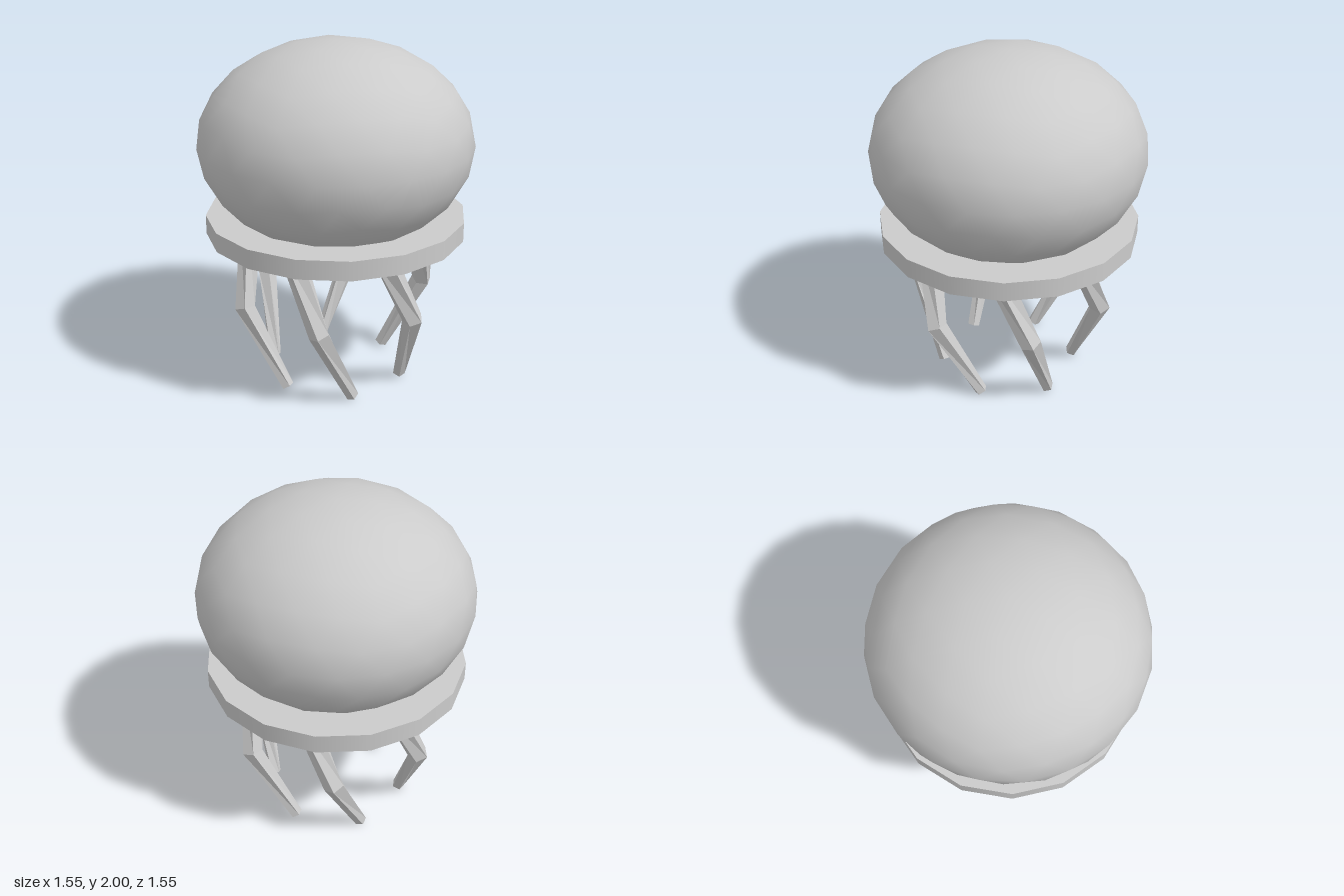
import * as THREE from 'three';

const grey = new THREE.MeshStandardMaterial({ color: 0xcccccc });
const greyFlat = new THREE.MeshStandardMaterial({ color: 0xcccccc, flatShading: true });

// Point at polar angle (degrees, from +x towards +z), radius and height
const polar = (deg, r, y) => {
  const a = THREE.MathUtils.degToRad(deg);
  return new THREE.Vector3(r * Math.cos(a), y, r * Math.sin(a));
};

// Smooth geodesic ellipsoid: upright icosahedron, each triangle split in four twice
function ellipsoid(rx, ry) {
  const h = 1 / Math.sqrt(5), r = 2 * h;
  const top = new THREE.Vector3(0, 1, 0), bottom = new THREE.Vector3(0, -1, 0);
  const upper = (i) => polar(72 * i, r, h);
  const lower = (i) => polar(72 * i + 36, r, -h);
  let faces = [];
  for (let i = 0; i < 5; i++) {
    faces.push(
      [top, upper(i + 1), upper(i)],
      [upper(i), upper(i + 1), lower(i)],
      [lower(i), upper(i + 1), lower(i + 1)],
      [bottom, lower(i), lower(i + 1)]
    );
  }
  const mid = (a, b) => a.clone().add(b).normalize();
  for (let n = 0; n < 2; n++) {
    faces = faces.flatMap(([a, b, c]) => {
      const ab = mid(a, b), bc = mid(b, c), ca = mid(c, a);
      return [[a, ab, ca], [ab, b, bc], [ca, bc, c], [ab, bc, ca]];
    });
  }
  const positions = [], normals = [];
  for (const p of faces.flat()) {
    positions.push(p.x * rx, p.y * ry, p.z * rx);
    const n = new THREE.Vector3(p.x / rx, p.y / ry, p.z / rx).normalize();
    normals.push(n.x, n.y, n.z);
  }
  const geo = new THREE.BufferGeometry();
  geo.setAttribute('position', new THREE.Float32BufferAttribute(positions, 3));
  geo.setAttribute('normal', new THREE.Float32BufferAttribute(normals, 3));
  return geo;
}

// Bent, tapering five-sided limb with a mitred joint and closed ends
function limb(points, radii, sides = 5) {
  const rings = points.map((p, i) => {
    const t = new THREE.Vector3();
    if (i > 0) t.add(p.clone().sub(points[i - 1]).normalize());
    if (i < points.length - 1) t.add(points[i + 1].clone().sub(p).normalize());
    t.normalize();
    const u = new THREE.Vector3(p.x, 0, p.z).normalize();
    u.addScaledVector(t, -u.dot(t)).normalize();
    const v = t.clone().cross(u);
    return Array.from({ length: sides }, (_, j) => {
      const a = (j / sides) * Math.PI * 2;
      return p.clone()
        .addScaledVector(u, radii[i] * Math.cos(a))
        .addScaledVector(v, radii[i] * Math.sin(a));
    });
  });
  const verts = [];
  const last = points.length - 1;
  for (let j = 0; j < sides; j++) {
    const k = (j + 1) % sides;
    for (let i = 0; i < last; i++) {
      const a = rings[i], b = rings[i + 1];
      verts.push(a[j], a[k], b[j], a[k], b[k], b[j]);
    }
    verts.push(points[0], rings[0][k], rings[0][j]);
    verts.push(points[last], rings[last][j], rings[last][k]);
  }
  const geo = new THREE.BufferGeometry().setFromPoints(verts);
  geo.computeVertexNormals();
  return geo;
}

export function createModel() {
  const model = new THREE.Group();
  model.name = 'jellyfish';

  const add = (name, geo, mat, y = 0) => {
    const mesh = new THREE.Mesh(geo, mat);
    mesh.name = name;
    mesh.position.y = y;
    model.add(mesh);
    return mesh;
  };

  // Domed body, dipping through the collar
  add('bell', ellipsoid(0.776, 0.58), grey, 1.42);

  // Flat sixteen-sided disc under the body
  add('collar', new THREE.CylinderGeometry(0.74, 0.74, 0.11, 16), grey, 0.955);

  // Six twisting tentacles
  for (let i = 0; i < 6; i++) {
    const a = i * 60;
    const path = [polar(a + 30, 0.48, 0.95), polar(a + 8, 0.555, 0.49), polar(a - 15, 0.39, 0.02)];
    add(`tentacle${i + 1}`, limb(path, [0.072, 0.06, 0.037]), greyFlat);
  }

  return model;
}
